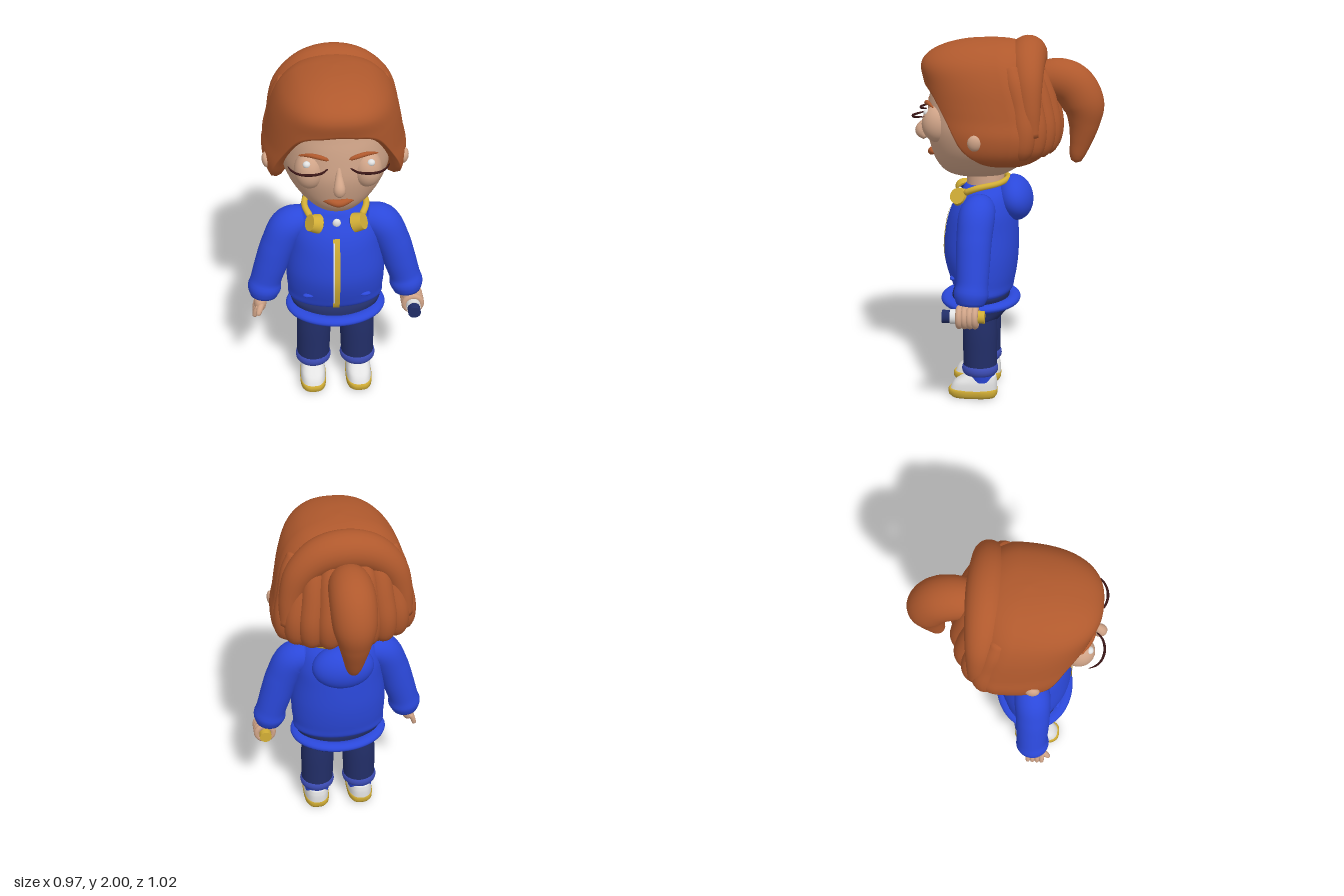
import * as THREE from 'three';
import { mergeVertices } from 'three/addons/utils/BufferGeometryUtils.js';

const mat = (name, color, extra = {}) => {
  const m = new THREE.MeshStandardMaterial({ color, ...extra });
  m.name = name;
  return m;
};

// Catmull-Rom sample of every column in a table of rows; u runs from 0 to 1
function sample(rows, u) {
  const n = rows.length - 1, f = Math.min(Math.max(u, 0), 1) * n;
  const i = Math.min(Math.floor(f), n - 1), t = f - i;
  const at = k => rows[Math.min(Math.max(k, 0), n)];
  return rows[0].map((_, c) => {
    const a = at(i - 1)[c], b = at(i)[c], d = at(i + 1)[c], e = at(i + 2)[c];
    return b + 0.5 * t * (d - a + t * (2 * a - 5 * b + 4 * d - e + t * (3 * (b - d) + e - a)));
  });
}

// u at which a top-to-bottom table reaches height y
function findY(rows, y) {
  let lo = 0, hi = 1;
  for (let i = 0; i < 30; i++) {
    const m = (lo + hi) / 2;
    if (sample(rows, m)[0] > y) lo = m; else hi = m;
  }
  return lo;
}

// Surface from closed rings; point(i, j) gives [x, y, z], rows run from top to bottom
function skin(rowCount, cols, point) {
  const pos = [], idx = [];
  for (let i = 0; i < rowCount; i++) for (let j = 0; j < cols; j++) {
    pos.push(...point(i, j));
    if (i === rowCount - 1) continue;
    const a = i * cols + j, b = i * cols + (j + 1) % cols, c = a + cols, d = b + cols;
    idx.push(a, c, b, b, c, d);
  }
  let g = new THREE.BufferGeometry();
  g.setAttribute('position', new THREE.Float32BufferAttribute(pos, 3));
  g.setIndex(idx);
  g = mergeVertices(g, 1e-5);
  g.computeVertexNormals();
  return g;
}

// Point on a ring [y, halfWidth, zFront, zBack]; k places the widest spot,
// front and back below 1 square off that half of the ring
function ringPoint([y, w, zf, zb], t, { k = 0.5, front = 1, back = 1, grow = 1 }) {
  const zc = zb + (zf - zb) * k, e = Math.cos(t) > 0 ? front : back;
  const p = v => Math.sign(v) * Math.abs(v) ** e, c = p(Math.cos(t));
  return [w * p(Math.sin(t)) * grow, y, zc + (c > 0 ? zf - zc : zc - zb) * c * grow];
}

// Body volume lofted through rings, top to bottom
function loft(rows, { steps = 6, cols = 48, ...shape } = {}) {
  const n = (rows.length - 1) * steps;
  return skin(n + 1, cols, (i, j) =>
    ringPoint(steps === 1 ? rows[i] : sample(rows, i / n), j / cols * Math.PI * 2, shape));
}

// Tube through [x, y, z, radius] points with closed ends
function limb(pts, seg = 24, sides = 20) {
  const curve = new THREE.CatmullRomCurve3(pts.map(p => new THREE.Vector3(p[0], p[1], p[2])));
  let g = new THREE.TubeGeometry(curve, seg, 1, sides);
  const pos = g.attributes.position, v = new THREE.Vector3();
  for (let i = 0; i <= seg; i++) {
    const c = curve.getPointAt(i / seg), u = curve.getUtoTmapping(i / seg);
    const r = i % seg === 0 ? 0.0005 : sample(pts, u)[3];
    for (let j = 0; j <= sides; j++) {
      const q = i * (sides + 1) + j;
      v.fromBufferAttribute(pos, q).sub(c).setLength(r).add(c);
      pos.setXYZ(q, v.x, v.y, v.z);
    }
  }
  g.deleteAttribute('uv');
  g.deleteAttribute('normal');
  g = mergeVertices(g, 1e-5);
  g.computeVertexNormals();
  return g;
}

const ball = (x, y, z, rx, ry, rz) =>
  new THREE.SphereGeometry(1, 32, 20).scale(rx, ry, rz).translate(x, y, z);

export function createModel() {
  const model = new THREE.Group();
  model.name = 'girl';
  const hair = mat('hair', 0xb0592d), face = mat('skin', 0xd0a488);
  const blue = mat('hoodie blue', 0x2b48da), navy = mat('trouser navy', 0x222e68);
  const cuff = mat('cuff blue', 0x3c4cb4), white = mat('white', 0xe2e2e2);
  const yellow = mat('yellow', 0xd2ae36, { side: THREE.DoubleSide }), dark = mat('lash', 0x3a1616);
  const add = (name, geo, m) => {
    const mesh = new THREE.Mesh(geo, m);
    mesh.name = name;
    model.add(mesh);
  };

  // Head and neck
  add('head', loft([[1.9, 0, 0.12, 0.12], [1.86, 0.18, 0.3, -0.05], [1.78, 0.26, 0.4, -0.13],
    [1.7, 0.285, 0.425, -0.17], [1.6, 0.295, 0.44, -0.2], [1.5, 0.29, 0.445, -0.2], [1.4, 0.255, 0.425, -0.17],
    [1.32, 0.195, 0.395, -0.09], [1.26, 0.125, 0.34, 0], [1.235, 0.06, 0.25, 0.07], [1.23, 0, 0.15, 0.15]],
    { k: 0.43, front: 0.9, cols: 64 }), face);
  add('neck', new THREE.CylinderGeometry(0.1, 0.105, 0.2, 32).translate(0, 1.21, 0.13), face);
  add('nose', limb([[0, 1.6, 0.425, 0.008], [0, 1.54, 0.448, 0.018], [0, 1.478, 0.484, 0.031], [0, 1.44, 0.45, 0.02]]), face);
  add('lips', limb([[-0.088, 1.365, 0.388, 0.004], [-0.04, 1.37, 0.416, 0.017], [0, 1.365, 0.425, 0.021],
    [0.04, 1.37, 0.416, 0.017], [0.088, 1.365, 0.388, 0.004]]), hair);

  // Hair cap: its lower edge follows the hairline and tucks in against the head
  const cap = [[1.985, 0, 0.1, 0.1], [1.975, 0.1, 0.24, -0.02], [1.945, 0.19, 0.36, -0.1], [1.9, 0.25, 0.44, -0.15],
    [1.84, 0.295, 0.472, -0.18], [1.75, 0.33, 0.455, -0.21], [1.65, 0.352, 0.44, -0.24], [1.58, 0.365, 0.43, -0.255],
    [1.5, 0.382, 0.42, -0.26], [1.42, 0.372, 0.41, -0.24], [1.36, 0.335, 0.38, -0.2], [1.3, 0.27, 0.3, -0.15]];
  const line = [[1.76], [1.75], [1.735], [1.69], [1.59], [1.46], [1.39], [1.36], [1.355], [1.355], [1.355],
    [1.36], [1.365], [1.375], [1.385], [1.395], [1.4]];
  const cols = 128, n = 40, capShape = { k: 0.342, front: 0.82 };
  add('hair', skin(n + 4, cols, (i, j) => {
    const t = j / cols * Math.PI * 2, a = Math.min(t, Math.PI * 2 - t);
    const end = findY(cap, sample(line, a / Math.PI)[0]), tuck = Math.max(i - n, 0);
    const p = ringPoint(sample(cap, end * Math.min(i / n, 1)), t, { ...capShape, grow: 1 - tuck * 0.075 });
    p[1] += [0, -0.014, -0.008, 0.02][tuck];
    return p;
  }), hair);
  add('hairCrest', limb([[-0.3, 1.48, -0.13, 0.05], [-0.285, 1.65, -0.12, 0.062], [-0.235, 1.78, -0.11, 0.08],
    [-0.13, 1.867, -0.1, 0.097], [0, 1.895, -0.1, 0.102], [0.13, 1.867, -0.1, 0.097], [0.235, 1.78, -0.11, 0.08],
    [0.285, 1.65, -0.12, 0.062], [0.3, 1.48, -0.13, 0.05]], 56, 24), hair);
  // Long locks hanging down the back
  for (let i = 0; i < 9; i++) {
    const t = Math.PI + (i - 4) * 0.31;
    add('hairLock', limb([1.86, 1.76, 1.64, 1.52, 1.43, 1.385].map((y, q) => [
      ...ringPoint(sample(cap, findY(cap, y)), t, { ...capShape, grow: 0.86 }),
      [0.045, 0.06, 0.064, 0.066, 0.06, 0.035][q]])), hair);
  }
  add('ponytail', limb([[0, 1.76, -0.17, 0.1], [0, 1.765, -0.26, 0.113], [0, 1.73, -0.34, 0.118],
    [0, 1.63, -0.398, 0.112], [0, 1.53, -0.402, 0.085], [0, 1.43, -0.385, 0.06], [0, 1.355, -0.367, 0.042],
    [0, 1.31, -0.36, 0.024]], 44, 28), hair);

  // Hoodie body
  const torso = [[1.2, 0, 0.13, 0.13], [1.195, 0.1, 0.23, 0.03], [1.15, 0.19, 0.265, -0.01], [1.06, 0.235, 0.32, -0.04],
    [0.95, 0.25, 0.35, -0.05], [0.8, 0.268, 0.36, -0.05], [0.66, 0.262, 0.325, -0.03], [0.59, 0.235, 0.28, 0],
    [0.58, 0, 0.14, 0.14]];
  add('hoodie', loft(torso), blue);
  add('hood', ball(0, 0, 0, 0.17, 0.125, 0.1).rotateX(0.2).translate(0, 1.115, -0.03), blue);
  add('hoodieRim', new THREE.TorusGeometry(0.232, 0.045, 16, 56).rotateX(Math.PI / 2).scale(1, 0.55, 0.8)
    .translate(0, 0.54, 0.16), blue);
  const zip = new THREE.PlaneGeometry(0.036, 0.47, 1, 24).translate(-0.004, 0.835, 0);
  const zipEdge = new THREE.PlaneGeometry(0.008, 0.4, 1, 24).translate(-0.018, 0.85, 0);
  for (const [g, lift] of [[zip, 0.004], [zipEdge, 0.007]]) {
    const p = g.attributes.position;
    for (let i = 0; i < p.count; i++) p.setZ(i, sample(torso, findY(torso, p.getY(i)))[2] + lift);
    g.computeVertexNormals();
  }
  add('zipper', zip, yellow);
  add('zipperEdge', zipEdge, white);
  add('collarButton', ball(0, 1.14, 0.272, 0.022, 0.026, 0.014), white);

  // Trousers
  add('hips', loft([[0.61, 0, 0.15, 0.15], [0.605, 0.23, 0.29, 0.01], [0.55, 0.235, 0.32, 0.0], [0.5, 0.222, 0.31, 0.0],
    [0.45, 0.212, 0.27, 0.04], [0.415, 0.15, 0.23, 0.08], [0.395, 0, 0.155, 0.155]]), navy);

  // Headphones resting round the neck
  add('headphoneBand', limb([[-0.135, 1.16, 0.24, 0.018], [-0.165, 1.195, 0.16, 0.017], [-0.125, 1.215, 0.05, 0.016],
    [0, 1.225, 0.005, 0.016], [0.125, 1.215, 0.05, 0.016], [0.165, 1.195, 0.16, 0.017], [0.135, 1.16, 0.24, 0.018]], 40, 12), yellow);

  for (const s of [1, -1]) {
    const side = s > 0 ? 'left' : 'right';
    const m = pts => pts.map(([x, ...r]) => [x * s, ...r]);
    // Face details
    add(side + 'Eyelid', ball(s * 0.145, 1.54, 0.372, 0.077, 0.1, 0.085), face);
    add(side + 'EyeWhite', ball(s * 0.16, 1.602, 0.428, 0.02, 0.018, 0.018), white);
    add(side + 'Eyelash', limb(m([[0.055, 1.59, 0.455, 0.004], [0.09, 1.585, 0.488, 0.006], [0.145, 1.585, 0.502, 0.007],
      [0.2, 1.585, 0.49, 0.006], [0.235, 1.59, 0.462, 0.005], [0.255, 1.595, 0.425, 0.002]]), 24, 8), dark);
    add(side + 'Eyebrow', limb(m([[0.05, 1.63, 0.44, 0.008], [0.09, 1.645, 0.438, 0.012], [0.14, 1.65, 0.422, 0.011],
      [0.2, 1.632, 0.385, 0.004]]), 16, 10), hair);
    add(side + 'Ear', ball(0, 0, 0, 0.025, 0.043, 0.038).rotateZ(-s * 0.15).translate(s * 0.357, 1.475, 0.155), face);
    // Headphone cups
    const cup = new THREE.Group();
    cup.name = side + 'HeadphoneCup';
    const shell = new THREE.Mesh(new THREE.CylinderGeometry(0.044, 0.053, 0.055, 28).rotateZ(-Math.PI / 2), yellow);
    const pad = new THREE.Mesh(new THREE.CylinderGeometry(0.042, 0.042, 0.016, 28).rotateZ(Math.PI / 2).translate(-0.028, 0, 0), navy);
    shell.name = 'cupShell';
    pad.name = 'cupPad';
    cup.add(shell, pad);
    cup.position.set(s * 0.12, 1.137, 0.262);
    cup.rotation.set(0, s > 0 ? -0.4 : Math.PI + 0.4, 0.4);
    model.add(cup);
    // Sleeve with a soft rolled cuff
    add(side + 'Sleeve', limb(m([[0.15, 1.09, 0.14, 0.08], [0.245, 1.068, 0.155, 0.097], [0.31, 0.95, 0.165, 0.094],
      [0.35, 0.83, 0.168, 0.09], [0.383, 0.72, 0.17, 0.085], [0.393, 0.67, 0.175, 0.092], [0.4, 0.605, 0.18, 0.07]]), 36, 28), blue);
    add(side + 'PocketTab', ball(s * 0.15, 0.69, 0.298, 0.035, 0.012, 0.018), blue);
    // Leg, rolled hem and shoe
    add(side + 'Leg', limb(m([[0.115, 0.52, 0.155, 0.09], [0.122, 0.38, 0.155, 0.096], [0.125, 0.25, 0.155, 0.094],
      [0.127, 0.13, 0.155, 0.092]]), 24, 28), navy);
    add(side + 'Hem', new THREE.TorusGeometry(0.078, 0.023, 12, 32).rotateX(Math.PI / 2).scale(1, 1.4, 1)
      .translate(s * 0.127, 0.165, 0.155), cuff);
    add(side + 'Sock', new THREE.CylinderGeometry(0.078, 0.07, 0.06, 28).translate(s * 0.13, 0.125, 0.145), blue);
    add(side + 'Shoe', loft([[0.135, 0, 0.14, 0.14], [0.132, 0.05, 0.22, 0.075], [0.11, 0.063, 0.265, 0.064],
      [0.08, 0.07, 0.305, 0.06], [0.03, 0.072, 0.328, 0.06]], { front: 0.75, back: 0.75, steps: 3 }).translate(s * 0.132, 0, 0), white);
    add(side + 'Sole', loft([[0.05, 0, 0.2, 0.2], [0.05, 0.07, 0.325, 0.064], [0.043, 0.075, 0.332, 0.058],
      [0.018, 0.074, 0.331, 0.059], [0, 0.062, 0.312, 0.07], [0, 0, 0.2, 0.2]], { front: 0.7, back: 0.65, steps: 1 })
      .translate(s * 0.132, 0, 0), yellow);
  }

  // Open right hand
  add('rightPalm', ball(-0.42, 0.58, 0.195, 0.035, 0.055, 0.05), face);
  for (let i = 0; i < 4; i++) {
    const z = 0.155 + i * 0.026;
    add('rightFinger', limb([[-0.425, 0.58, z, 0.015], [-0.445, 0.545, z, 0.015], [-0.455, 0.505, z, 0.012]], 10, 10), face);
  }
  add('rightThumb', limb([[-0.41, 0.59, 0.22, 0.018], [-0.425, 0.565, 0.255, 0.017], [-0.435, 0.54, 0.275, 0.012]], 10, 10), face);

  // Left fist gripping a baton that points forward
  add('leftPalm', ball(0.41, 0.59, 0.19, 0.045, 0.045, 0.05), face);
  for (let i = 0; i < 4; i++)
    add('leftFinger', new THREE.TorusGeometry(0.046, 0.018, 10, 28).translate(0.427, 0.558, 0.15 + i * 0.028), face);
  for (const [name, z0, z1, r, m] of [['batonHandle', 0.1, 0.2, 0.034, yellow], ['batonCollar', 0.2, 0.282, 0.04, white],
    ['batonTip', 0.28, 0.325, 0.035, navy]])
    add(name, new THREE.CylinderGeometry(r, r, z1 - z0, 20).rotateX(Math.PI / 2).translate(0.427, 0.56, (z0 + z1) / 2), m);

  return model;
}
